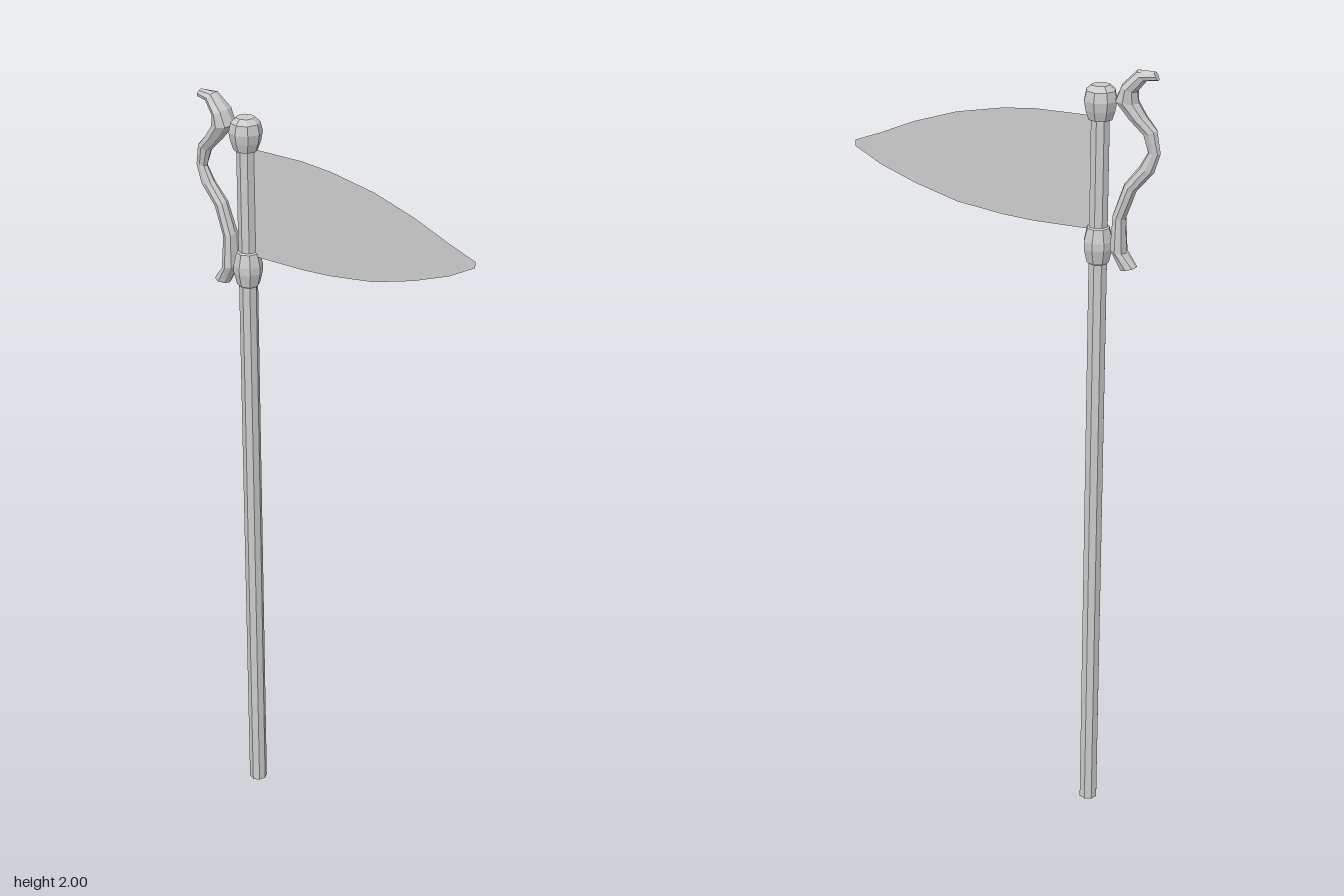
import * as THREE from 'three';

const POLE_X = -0.255;

function material() {
  return new THREE.MeshStandardMaterial({ color: 0xcccccc, flatShading: true, side: THREE.DoubleSide });
}

// Eight-sided turned part on the pole axis
function turned(name, profile) {
  const points = profile.map(([r, y]) => new THREE.Vector2(r, y));
  const mesh = new THREE.Mesh(new THREE.LatheGeometry(points, 8), material());
  mesh.name = name;
  mesh.position.x = POLE_X;
  return mesh;
}

// Loft of eight-sided sections, each [outer x, y, inner x, y, half depth]
function loft(sections, sides = 8) {
  const positions = [], index = [];
  for (const [lx, ly, rx, ry, depth] of sections) {
    for (let j = 0; j < sides; j++) {
      const a = (j / sides) * Math.PI * 2, c = Math.cos(a) / 2;
      positions.push((lx + rx) / 2 + (rx - lx) * c, (ly + ry) / 2 + (ry - ly) * c, depth * Math.sin(a));
    }
  }
  const last = (sections.length - 1) * sides;
  for (let i = 0; i < last; i += sides) {
    for (let j = 0; j < sides; j++) {
      const k = (j + 1) % sides;
      index.push(i + j, i + k, i + sides + j, i + k, i + sides + k, i + sides + j);
    }
  }
  // End faces
  for (let j = 1; j < sides - 1; j++) {
    index.push(0, j + 1, j, last, last + j, last + j + 1);
  }
  const geometry = new THREE.BufferGeometry();
  geometry.setAttribute('position', new THREE.Float32BufferAttribute(positions, 3));
  geometry.setIndex(index);
  geometry.computeVertexNormals();
  return geometry;
}

export function createModel() {
  const group = new THREE.Group();
  group.name = 'flagPole';

  // Pole with its collar and cap
  group.add(turned('pole', [[0, 0], [0.024, 0], [0.024, 1.9]]));
  group.add(turned('collar', [[0.024, 1.515], [0.029, 1.52], [0.037, 1.553], [0.037, 1.572], [0.029, 1.605], [0.024, 1.608]]));
  group.add(turned('cap', [[0, 1.872], [0.03, 1.872], [0.038, 1.895], [0.042, 1.918], [0.037, 1.942], [0.023, 1.955], [0, 1.955]]));

  // Flat pennant tapering to a blunt tip
  const outline = [
    [-0.245, 1.878], [-0.085, 1.878], [0, 1.87], [0.125, 1.846], [0.24, 1.809], [0.34, 1.767], [0.41, 1.741],
    [0.41, 1.725], [0.34, 1.687], [0.24, 1.65], [0.125, 1.618], [0, 1.602], [-0.085, 1.597], [-0.245, 1.597],
  ];
  const shape = new THREE.Shape(outline.map(([x, y]) => new THREE.Vector2(x, y)));
  const flag = new THREE.Mesh(new THREE.ShapeGeometry(shape), material());
  flag.name = 'flag';
  group.add(flag);

  // Curling ornament, from the top tip to the lower foot
  const ornament = new THREE.Mesh(loft([
    [-0.4, 1.978, -0.39, 2.0, 0.01],
    [-0.37, 1.975, -0.347, 2.0, 0.021],
    [-0.347, 1.947, -0.31, 1.963, 0.032],
    [-0.352, 1.92, -0.293, 1.925, 0.032],
    [-0.373, 1.89, -0.328, 1.883, 0.025],
    [-0.4, 1.86, -0.365, 1.847, 0.018],
    [-0.41, 1.805, -0.378, 1.805, 0.011],
    [-0.395, 1.757, -0.357, 1.768, 0.014],
    [-0.352, 1.708, -0.32, 1.722, 0.018],
    [-0.325, 1.634, -0.293, 1.643, 0.022],
    [-0.33, 1.55, -0.288, 1.56, 0.028],
    [-0.357, 1.517, -0.315, 1.507, 0.022],
  ]), material());
  ornament.name = 'ornament';
  group.add(ornament);

  return group;
}
